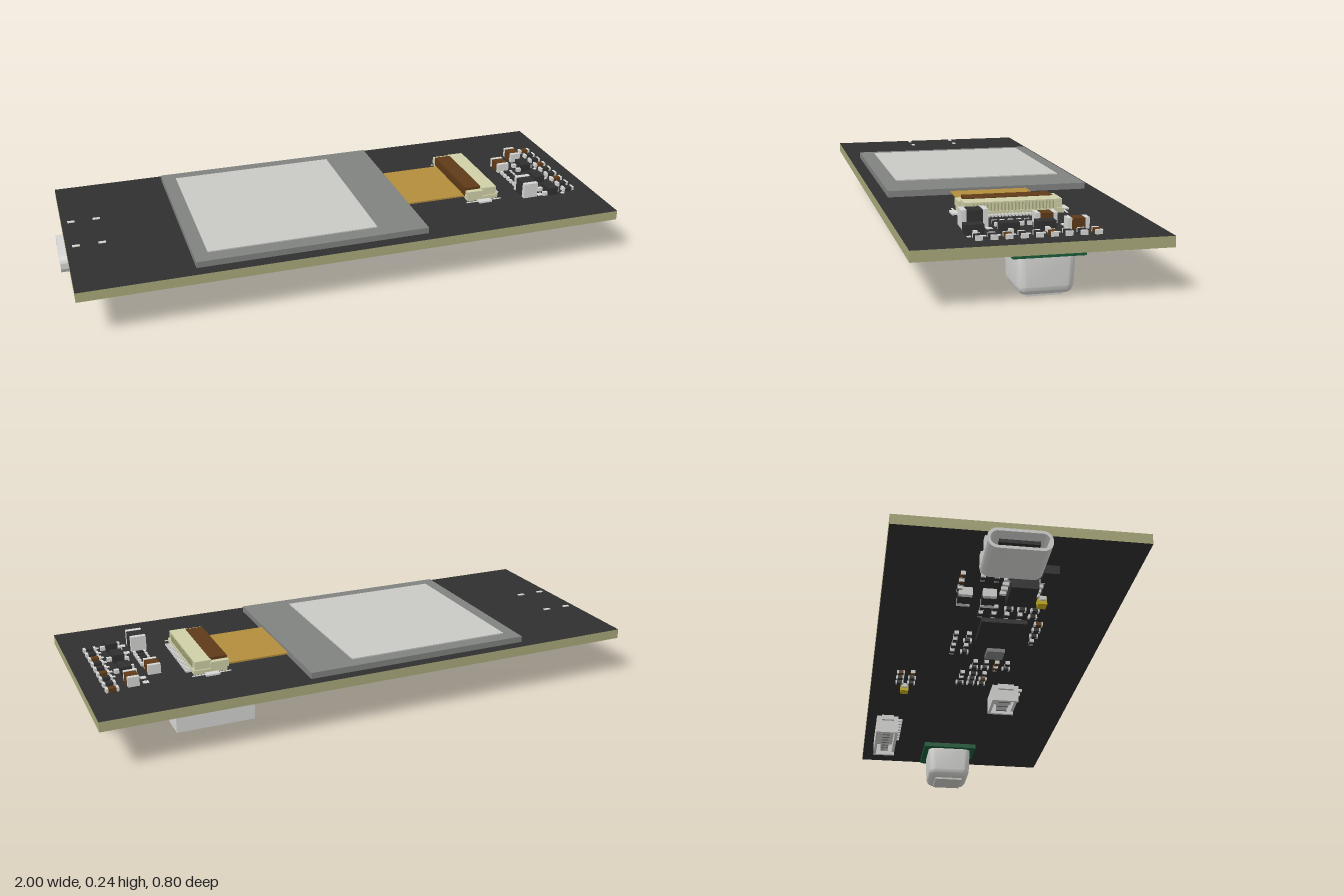
import * as THREE from 'three';
import { toCreasedNormals } from 'three/addons/utils/BufferGeometryUtils.js';
import { RoundedBoxGeometry } from 'three/addons/geometries/RoundedBoxGeometry.js';

const mat = (name, color) => {
  const m = new THREE.MeshStandardMaterial({ color });
  m.name = name;
  return m;
};
const black = mat('black solder mask', 0x303030);
const laminate = mat('laminate edge', 0xa9a97b);
const screenGrey = mat('screen grey', 0xc9c9c4);
const glassGrey = mat('glass grey', 0x808280);
const amber = mat('amber flex', 0xb38d3c);
const brown = mat('brown', 0x5e3a18);
const cream = mat('cream plastic', 0xcfcfa8);
const metal = mat('pale metal', 0xd6d6d4);
const green = mat('green board', 0x1a5c38);
const yellow = mat('yellow', 0xc9b018);

const TOP = 0.185, BOTTOM = 0.15;

export function createModel() {
  const root = new THREE.Group();
  root.name = 'displayBoard';

  const group = (name) => {
    const g = new THREE.Group();
    g.name = name;
    root.add(g);
    return g;
  };
  const add = (parent, name, geo, material) => {
    const m = new THREE.Mesh(geo, material);
    m.name = name;
    parent.add(m);
    return m;
  };
  // Box given by its limits on each axis
  const box = (parent, name, material, x0, x1, y0, y1, z0, z1) => {
    const m = add(parent, name, new THREE.BoxGeometry(x1 - x0, y1 - y0, z1 - z0), material);
    m.position.set((x0 + x1) / 2, (y0 + y1) / 2, (z0 + z1) / 2);
    return m;
  };
  // Box standing on the upper face (side 1) or hanging from the lower face (side -1)
  const mount = (parent, name, material, side, x, z, w, h, d) => {
    const y = side > 0 ? TOP : BOTTOM - h;
    return box(parent, name, material, x - w / 2, x + w / 2, y, y + h, z - d / 2, z + d / 2);
  };
  // Two-terminal part; the terminals lie along x or along z
  const passive = (parent, material, side, x, z, len, wid, h, alongX) => {
    const size = (l) => (alongX ? [l, wid] : [wid, l]);
    const [bw, bd] = size(len * 0.6);
    mount(parent, 'passiveBody', material, side, x, z, bw, h, bd);
    const [ew, ed] = size(len * 0.2);
    for (const s of [-1, 1]) {
      const o = s * len * 0.4;
      mount(parent, 'passiveEnd', metal, side, x + (alongX ? o : 0), z + (alongX ? 0 : o), ew, h * 1.03, ed);
    }
  };

  // Circuit board: tan edges, dark faces
  box(root, 'circuitBoard', [laminate, laminate, black, black, laminate, laminate],
    -0.975, 0.995, BOTTOM, TOP, -0.4, 0.4);

  // Display, flex cable and its connector
  const display = group('display');
  box(display, 'displayGlass', glassGrey, -0.57, 0.265, TOP, 0.207, -0.36, 0.355);
  box(display, 'screen', screenGrey, -0.52, 0.09, 0.207, 0.211, -0.31, 0.3);
  box(display, 'flexCable', amber, 0.26, 0.52, 0.192, 0.198, -0.14, 0.135);

  const socket = group('flexConnector');
  box(socket, 'socketBase', cream, 0.5, 0.62, TOP, 0.2, -0.17, 0.165);
  box(socket, 'socketBody', cream, 0.555, 0.615, 0.2, 0.23, -0.165, 0.16);
  box(socket, 'latch', brown, 0.495, 0.557, 0.2, 0.232, -0.15, 0.145);
  for (const z of [-0.163, 0.158]) box(socket, 'socketCheek', cream, 0.495, 0.56, 0.2, 0.224, z - 0.01, z + 0.01);
  for (let i = 0; i < 24; i++) {
    const z = -0.135 + i * 0.0115;
    box(socket, 'socketPin', metal, 0.615, 0.64, TOP, 0.192, z - 0.003, z + 0.003);
    box(socket, 'socketRib', laminate, 0.615, 0.618, 0.2, 0.226, z - 0.002, z + 0.002);
  }
  for (const z of [-0.187, 0.182]) {
    box(socket, 'anchorPad', metal, 0.535, 0.585, TOP, 0.191, z - 0.012, z + 0.012);
    box(socket, 'outline', metal, 0.49, 0.63, TOP, 0.187, z * 0.96 - 0.003, z * 0.96 + 0.003);
  }

  // Parts on the upper face
  const upper = group('upperComponents');
  for (const z of [-0.045, 0.07, 0.18]) {
    mount(upper, 'transistor', black, 1, 0.83, z, 0.04, 0.03, 0.06);
    for (const [dx, dz] of [[0.028, 0], [-0.028, 0.02], [-0.028, -0.02]])
      mount(upper, 'transistorLead', metal, 1, 0.83 + dx, z + dz, 0.018, 0.014, 0.013);
  }
  passive(upper, black, 1, 0.74, 0.16, 0.085, 0.055, 0.055, false);
  passive(upper, brown, 1, 0.74, -0.07, 0.07, 0.045, 0.034, false);
  passive(upper, brown, 1, 0.83, -0.145, 0.07, 0.04, 0.034, false);
  for (let i = 0; i < 9; i++) {
    const z = -0.185 + i * 0.046;
    passive(upper, i % 3 ? black : brown, 1, 0.905, z, 0.045, 0.022, 0.014, true);
    if (i > 1) mount(upper, 'marking', metal, 1, 0.875, z + 0.02, 0.012, 0.002, 0.012);
  }
  for (let i = 0; i < 5; i++) passive(upper, black, 1, 0.745, -0.015 + i * 0.026, 0.045, 0.016, 0.012, true);
  for (const z of [-0.16, -0.12, 0.12, 0.19]) mount(upper, 'marking', metal, 1, 0.785, z, 0.02, 0.002, 0.02);

  // Sensor: small green board with a tapered rounded cap
  const sensor = group('sensor');
  box(sensor, 'sensorBoard', green, 0.74, 0.96, 0.132, BOTTOM, -0.135, 0.09);
  const capGeo = new RoundedBoxGeometry(0.186, 0.15, 0.186, 5, 0.03);
  const p = capGeo.attributes.position;
  for (let i = 0; i < p.count; i++) {
    const t = p.getY(i) / 0.15 + 0.5;
    const k = 0.94 + 0.06 * t;
    p.setXYZ(i, p.getX(i) * k, t > 0.8 ? Math.min(p.getY(i), 0.062) : p.getY(i), p.getZ(i) * k);
  }
  capGeo.computeVertexNormals();
  add(sensor, 'sensorCap', toCreasedNormals(capGeo, 0.7), metal).position.set(0.85, 0.083, -0.022);
  box(sensor, 'sensorWindow', screenGrey, 0.793, 0.907, 0, 0.01, -0.08, 0.035);

  // Wire sockets: open trays facing down, with a row of contacts
  const wireSocket = (name, x0, x1, y, z0, z1, pins) => {
    const g = group(name), t = 0.011;
    box(g, 'socketFloor', metal, x0, x1, 0.125, BOTTOM, z0, z1);
    for (const [a, b] of [[x0, x0 + t], [x1 - t, x1]]) {
      box(g, 'endWall', metal, a, b, y, 0.125, z0, z1);
      box(g, 'endTab', metal, a - 0.012, b + 0.012, 0.13, BOTTOM, z0 + 0.02, z1 - 0.02);
    }
    box(g, 'backWall', metal, x0 + t, x1 - t, y, 0.125, z0, z0 + t);
    box(g, 'frontWall', metal, x0 + t, x1 - t, y + 0.012, 0.125, z1 - t, z1);
    for (let i = 0; i < pins; i++) {
      const x = x0 + 0.03 + (i * (x1 - x0 - 0.06)) / (pins - 1);
      box(g, 'contact', glassGrey, x - 0.005, x + 0.005, 0.09, 0.126, z0 + 0.03, z1 - 0.03);
      box(g, 'contactFoot', metal, x - 0.005, x + 0.005, 0.14, BOTTOM, z1, z1 + 0.018);
      box(g, 'wallSlot', glassGrey, x - 0.003, x + 0.003, 0.1, 0.14, z1, z1 + 0.002);
    }
  };
  wireSocket('longWireSocket', 0.47, 0.74, 0.078, -0.36, -0.27, 8);
  wireSocket('shortWireSocket', 0.1, 0.24, 0.085, 0.07, 0.172, 3);

  // Cable port: hollow rounded shell opening to -x
  const port = group('cablePort');
  const slot = (path, w, h) => {
    const r = h / 2 * 0.95, a = w / 2, b = h / 2;
    path.moveTo(-a + r, -b);
    path.lineTo(a - r, -b);
    path.absarc(a - r, -b + r, r, -Math.PI / 2, 0, false);
    path.absarc(a - r, b - r, r, 0, Math.PI / 2, false);
    path.absarc(-a + r, b - r, r, Math.PI / 2, Math.PI, false);
    path.absarc(-a + r, -b + r, r, Math.PI, Math.PI * 1.5, false);
    return path;
  };
  const outline = slot(new THREE.Shape(), 0.2, 0.07);
  outline.holes.push(slot(new THREE.Path(), 0.18, 0.05));
  const shellGeo = new THREE.ExtrudeGeometry(outline, { depth: 0.17, bevelEnabled: false, curveSegments: 10 });
  shellGeo.rotateY(-Math.PI / 2);
  add(port, 'portShell', toCreasedNormals(shellGeo, 0.6), metal).position.set(-0.83, 0.115, -0.013);
  box(port, 'portBack', black, -0.85, -0.832, 0.092, 0.138, -0.1, 0.074);
  box(port, 'portTongue', black, -0.985, -0.85, 0.109, 0.121, -0.075, 0.05);
  for (const x of [-0.94, -0.85]) for (const z of [-0.107, 0.081]) {
    box(port, 'portLeg', metal, x - 0.013, x + 0.013, 0.11, 0.188, z - 0.006, z + 0.006);
  }

  // Parts on the lower face
  const lower = group('lowerComponents');
  mount(lower, 'processor', black, -1, -0.36, 0.03, 0.16, 0.016, 0.16);
  mount(lower, 'smallChip', glassGrey, -1, -0.18, 0.035, 0.065, 0.014, 0.065);
  mount(lower, 'powerChip', black, -1, -0.67, 0.05, 0.12, 0.042, 0.09);
  for (let i = 0; i < 4; i++) for (const s of [-1, 1])
    mount(lower, 'chipLead', metal, -1, -0.715 + i * 0.03, 0.05 + s * 0.055, 0.012, 0.012, 0.022);
  mount(lower, 'regulator', black, -1, -0.78, 0.12, 0.06, 0.03, 0.05);
  for (const z of [-0.13, -0.05]) passive(lower, black, -1, -0.6, z, 0.08, 0.045, 0.028, true);
  for (const [x, z] of [[0.16, -0.27], [-0.59, 0.13]]) {
    mount(lower, 'capacitor', yellow, -1, x, z, 0.035, 0.026, 0.03);
    for (const s of [-1, 1]) mount(lower, 'capacitorEnd', metal, -1, x + s * 0.022, z, 0.009, 0.014, 0.022);
  }

  // Clusters of tiny parts: centre x, z, columns, rows, spacing
  let seed = 7;
  const rnd = () => (seed = (seed * 16807) % 2147483647) / 2147483647;
  const clusters = [
    [0.07, -0.27, 3, 2, 0.045], [0.04, -0.02, 3, 3, 0.042], [-0.08, 0.035, 2, 4, 0.04],
    [-0.25, -0.1, 4, 2, 0.045], [-0.5, 0.03, 2, 5, 0.045], [-0.74, -0.04, 2, 3, 0.045],
    [-0.36, 0.15, 4, 1, 0.045], [-0.68, -0.15, 3, 1, 0.045],
  ];
  for (const [cx, cz, nx, nz, step] of clusters)
    for (let i = 0; i < nx; i++) for (let j = 0; j < nz; j++) {
      const x = cx + (i - (nx - 1) / 2) * step, z = cz + (j - (nz - 1) / 2) * step;
      passive(lower, rnd() < 0.3 ? brown : black, -1, x, z, 0.03, 0.016, 0.012, rnd() < 0.5);
    }

  return root;
}
